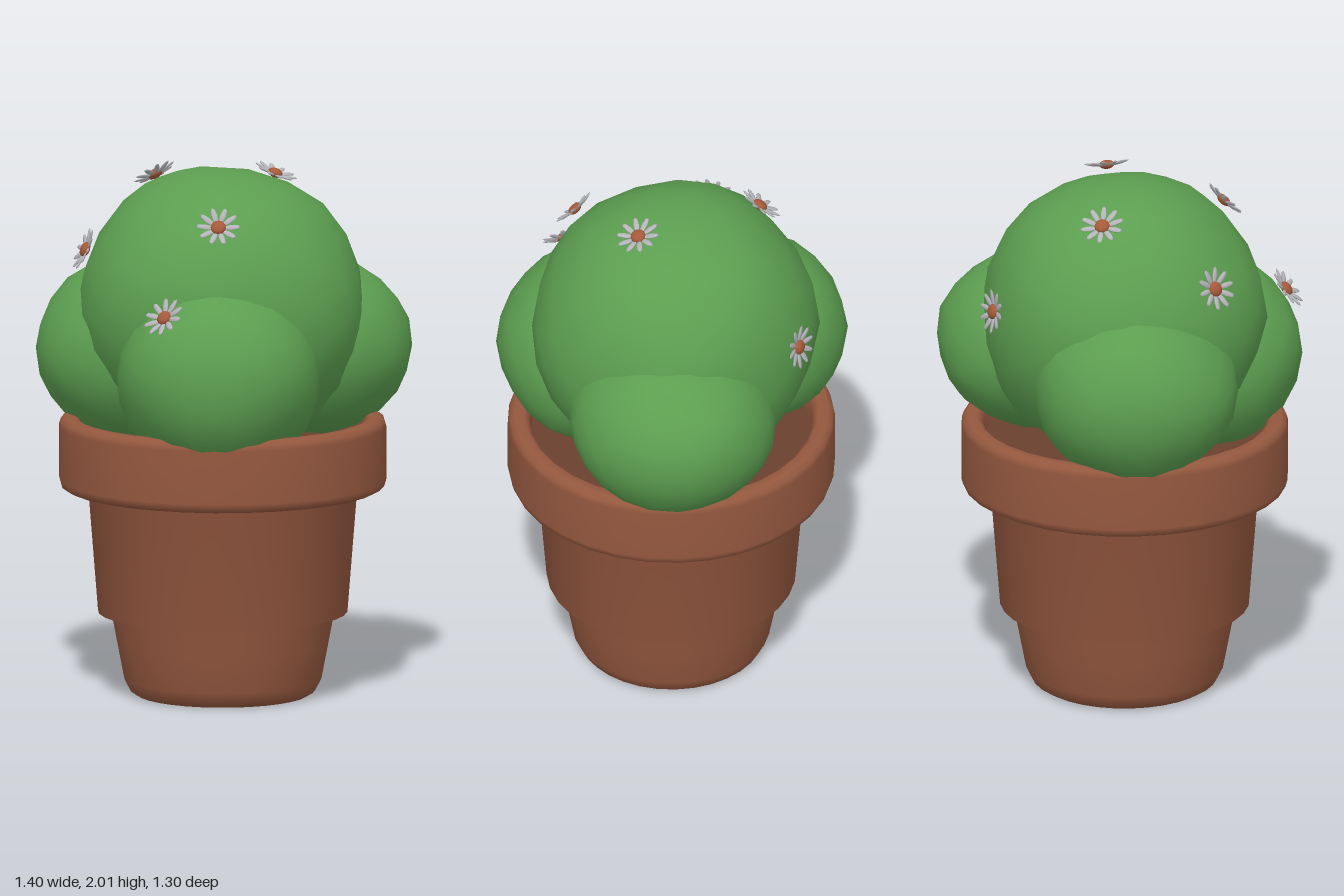
import * as THREE from 'three';
import { mergeVertices } from 'three/addons/utils/BufferGeometryUtils.js';

const mat = (name, color, side = THREE.FrontSide) => {
  const m = new THREE.MeshStandardMaterial({ color, side });
  m.name = name;
  return m;
};

export function createModel() {
  const model = new THREE.Group();
  model.name = 'pottedBush';
  const terracotta = mat('terracotta', 0x95583f);
  const soilBrown = mat('soil brown', 0x6a4030);
  const leafGreen = mat('leaf green', 0x5c9e50);
  const petalGrey = mat('petal grey', 0xb6b5ba);
  const flowerOrange = mat('flower orange', 0xa55a3a);

  const add = (parent, name, geometry, material) => {
    const mesh = new THREE.Mesh(geometry, material);
    mesh.name = name;
    parent.add(mesh);
    return mesh;
  };
  const lathe = (points) =>
    new THREE.LatheGeometry(points.map(([x, y]) => new THREE.Vector2(x, y)), 32);

  // Pot: rounded foot, stepped body and thick rim
  const pot = new THREE.Group();
  pot.name = 'pot';
  pot.position.z = -0.04;
  model.add(pot);
  add(pot, 'potFoot', lathe([
    [0, 0], [0.32, 0], [0.345, 0.015], [0.368, 0.06], [0.395, 0.2], [0.42, 0.33],
  ]), terracotta);
  add(pot, 'potBodyAndRim', lathe([
    [0.4, 0.312], [0.465, 0.312], [0.502, 0.78], [0.585, 0.78], [0.603, 0.79], [0.61, 0.815],
    [0.61, 1.015], [0.603, 1.037], [0.585, 1.05], [0.55, 1.05], [0.535, 1.04], [0.525, 1.01], [0.52, 0.92],
  ]), terracotta);
  const soil = add(pot, 'soil', new THREE.CircleGeometry(0.525, 32), soilBrown);
  soil.rotation.x = -Math.PI / 2;
  soil.position.y = 0.96;

  // Leaf balls: slightly lumpy spheres
  const leafBall = (name, center, radii, phase) => {
    let geo = new THREE.IcosahedronGeometry(1, 3);
    geo.deleteAttribute('normal');
    geo.deleteAttribute('uv');
    geo = mergeVertices(geo, 1e-4);
    const p = geo.attributes.position;
    const v = new THREE.Vector3();
    for (let i = 0; i < p.count; i++) {
      v.fromBufferAttribute(p, i);
      const lump = Math.sin(4 * v.x + phase) * Math.sin(4 * v.y + 2 * phase) * Math.sin(4 * v.z + 3 * phase);
      v.multiplyScalar(1 + 0.025 * lump);
      p.setXYZ(i, v.x, v.y, v.z);
    }
    geo.scale(...radii);
    geo.computeVertexNormals();
    add(model, name, geo, leafGreen).position.set(...center);
  };
  const crown = [0, 1.455, -0.05];
  const front = [0, 1.255, 0.285];
  leafBall('crownBush', crown, [0.54, 0.535, 0.53], 0.6);
  leafBall('frontBush', front, [0.38, 0.37, 0.37], 1.7);
  leafBall('leftBush', [0.32, 1.29, -0.235], [0.378, 0.335, 0.387], 2.9);
  leafBall('rightBush', [-0.325, 1.28, -0.16], [0.378, 0.35, 0.385], 4.1);

  // Daisies: a domed centre and a ring of slightly raised petals
  const petalGeo = new THREE.SphereGeometry(1, 6, 4);
  petalGeo.rotateZ(Math.PI / 2);
  petalGeo.scale(0.034, 0.005, 0.012);
  petalGeo.translate(0.052, 0, 0);
  petalGeo.rotateZ(0.2);
  const centreGeo = new THREE.SphereGeometry(1, 12, 8);
  centreGeo.scale(0.029, 0.017, 0.029);
  const up = new THREE.Vector3(0, 1, 0);
  const daisy = (position, center) => {
    const flower = new THREE.Group();
    flower.name = 'daisy';
    flower.position.set(...position);
    const normal = flower.position.clone().sub(new THREE.Vector3(...center)).normalize();
    flower.quaternion.setFromUnitVectors(up, normal);
    add(flower, 'daisyCentre', centreGeo, flowerOrange).position.y = 0.008;
    const count = 10;
    for (let i = 0; i < count; i++) {
      add(flower, 'petal', petalGeo, petalGrey).rotation.y = (i / count) * Math.PI * 2;
    }
    model.add(flower);
  };
  daisy([0.195, 1.965, -0.015], crown);
  daisy([0.005, 1.825, 0.37], crown);
  daisy([-0.5, 1.69, 0.08], crown);
  daisy([-0.26, 1.915, -0.265], crown);
  daisy([-0.005, 1.55, -0.585], crown);
  daisy([-0.185, 1.51, 0.535], front);

  return model;
}
